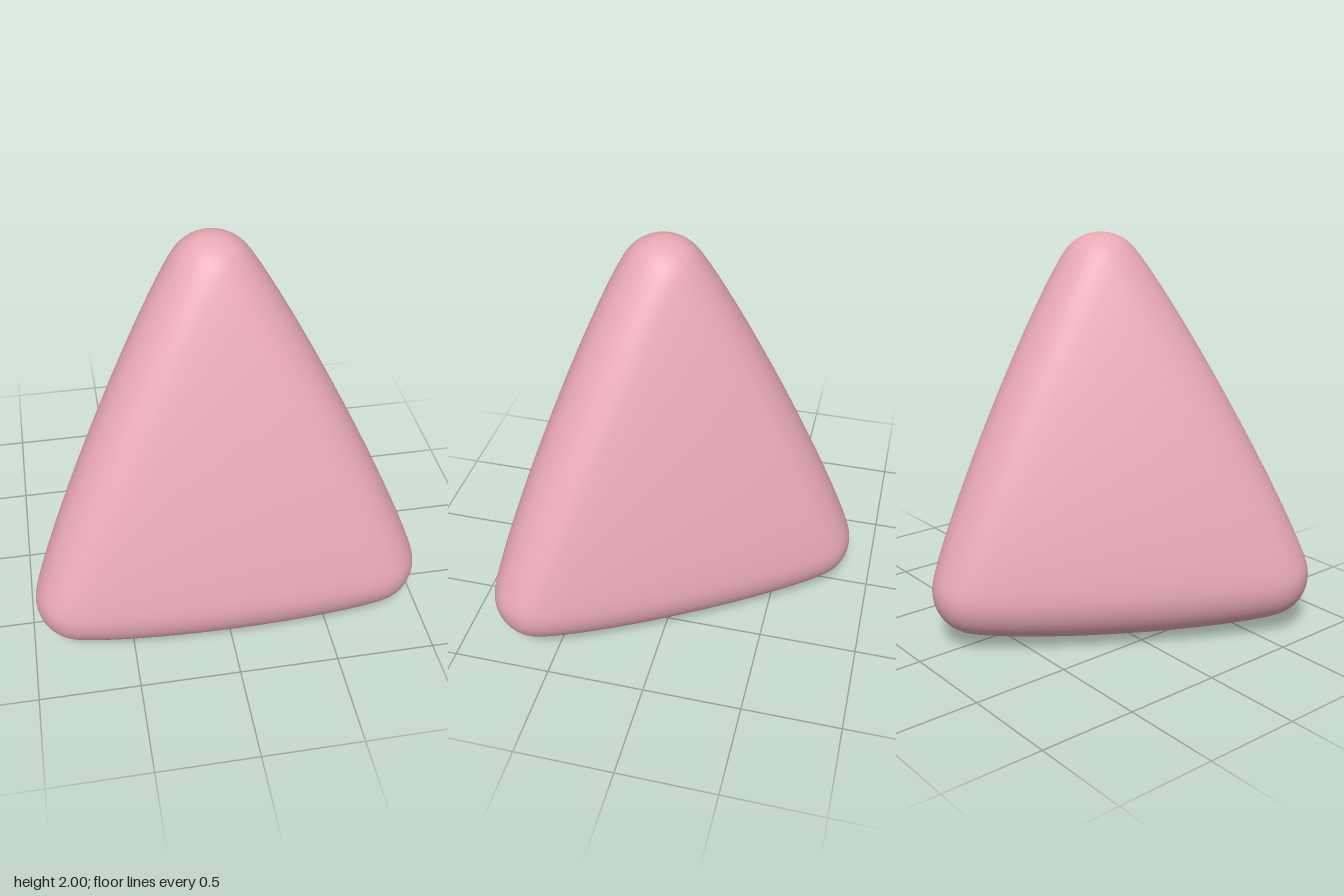
import * as THREE from 'three';

// Corner centres of the soft pyramid: two front feet, back foot, tip
const CORNERS = [
  new THREE.Vector3(0.75, 0.289, 0.617),
  new THREE.Vector3(-0.75, 0.289, 0.617),
  new THREE.Vector3(0, 0.289, -0.66),
  new THREE.Vector3(0, 1.78, 0.13),
];
const RADIUS = 0.22; // corner rounding
const SHARPNESS = 16; // lower values make the faces and edges bulge more

// Point of the smooth convex surface whose outward normal is n
function surfacePoint(n, target) {
  const reach = CORNERS.map((c) => c.dot(n));
  const top = Math.max(...reach);
  const weights = reach.map((d) => Math.exp(SHARPNESS * (d - top)));
  const sum = weights.reduce((a, b) => a + b, 0);
  const support = top + Math.log(sum) / SHARPNESS + RADIUS;
  target.set(0, 0, 0);
  CORNERS.forEach((c, i) => target.addScaledVector(c, weights[i] / sum));
  return target.addScaledVector(n, support - target.dot(n));
}

export function createModel() {
  const group = new THREE.Group();
  group.name = 'roundedPyramid';

  // Each direction of a fine sphere becomes a normal of the pyramid
  const geometry = new THREE.IcosahedronGeometry(1, 55);
  const position = geometry.attributes.position;
  const normal = geometry.attributes.normal;
  const n = new THREE.Vector3();
  const p = new THREE.Vector3();
  for (let i = 0; i < position.count; i++) {
    n.fromBufferAttribute(position, i).normalize();
    surfacePoint(n, p);
    position.setXYZ(i, p.x, p.y, p.z);
    normal.setXYZ(i, n.x, n.y, n.z);
  }

  const body = new THREE.Mesh(geometry, new THREE.MeshStandardMaterial({ color: 0xe8a9b3 }));
  body.name = 'softPyramidBody';
  group.add(body);
  return group;
}
